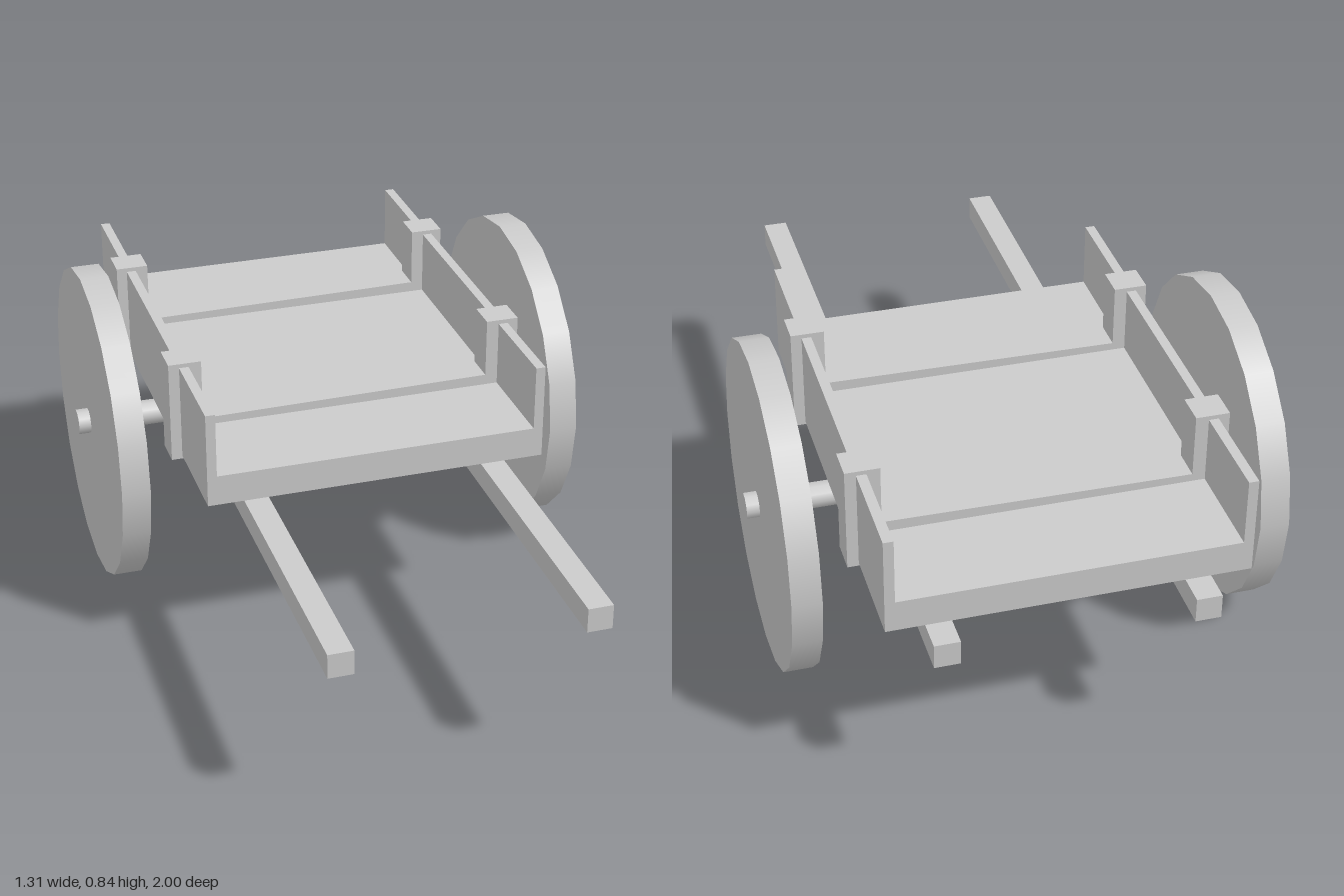
import * as THREE from 'three';

const WHEEL_Z = -0.315;
const material = new THREE.MeshStandardMaterial({ color: 0xcccccc });

function add(parent, name, geometry, x = 0, y = 0, z = 0) {
  const mesh = new THREE.Mesh(geometry, material);
  mesh.name = name;
  mesh.position.set(x, y, z);
  parent.add(mesh);
  return mesh;
}

// U-shaped cross-section extruded along z; the floor may tilt slightly
function channel(outer, inner, bottom, top, floorRight, floorLeft, depth) {
  const shape = new THREE.Shape([
    [-outer, bottom], [outer, bottom], [outer, top], [inner, top],
    [inner, floorLeft], [-inner, floorRight], [-inner, top], [-outer, top],
  ].map(([x, y]) => new THREE.Vector2(x, y)));
  return new THREE.ExtrudeGeometry(shape, { depth, bevelEnabled: false });
}

export function createModel() {
  const cart = new THREE.Group();
  cart.name = 'handcart';

  // Open-ended bed with a thick floor and thin side boards
  add(cart, 'bed', channel(0.445, 0.42, 0.468, 0.722, 0.549, 0.549, 1.23), 0, 0, -0.932);

  // Brackets wrapped around the bed
  const bracket = channel(0.473, 0.387, 0.46, 0.733, 0.569, 0.577, 0.083);
  add(cart, 'frontBracket', bracket, 0, 0, -0.055);
  add(cart, 'rearBracket', bracket, 0, 0, -0.668);

  // Axle
  const axle = new THREE.CylinderGeometry(0.034, 0.034, 1.312, 10).rotateZ(Math.PI / 2);
  add(cart, 'axle', axle, 0, 0.424, WHEEL_Z);

  // Solid disc wheels and long pulling shafts, mirrored
  const wheel = new THREE.CylinderGeometry(0.421, 0.421, 0.075, 20).rotateZ(Math.PI / 2);
  const shaft = new THREE.BoxGeometry(0.064, 0.064, 2);
  for (const [side, s] of [['left', 1], ['right', -1]]) {
    add(cart, side + 'Wheel', wheel, s * 0.586, 0.421, WHEEL_Z);
    add(cart, side + 'Shaft', shaft, s * 0.316, 0.427, 0);
  }
  return cart;
}
